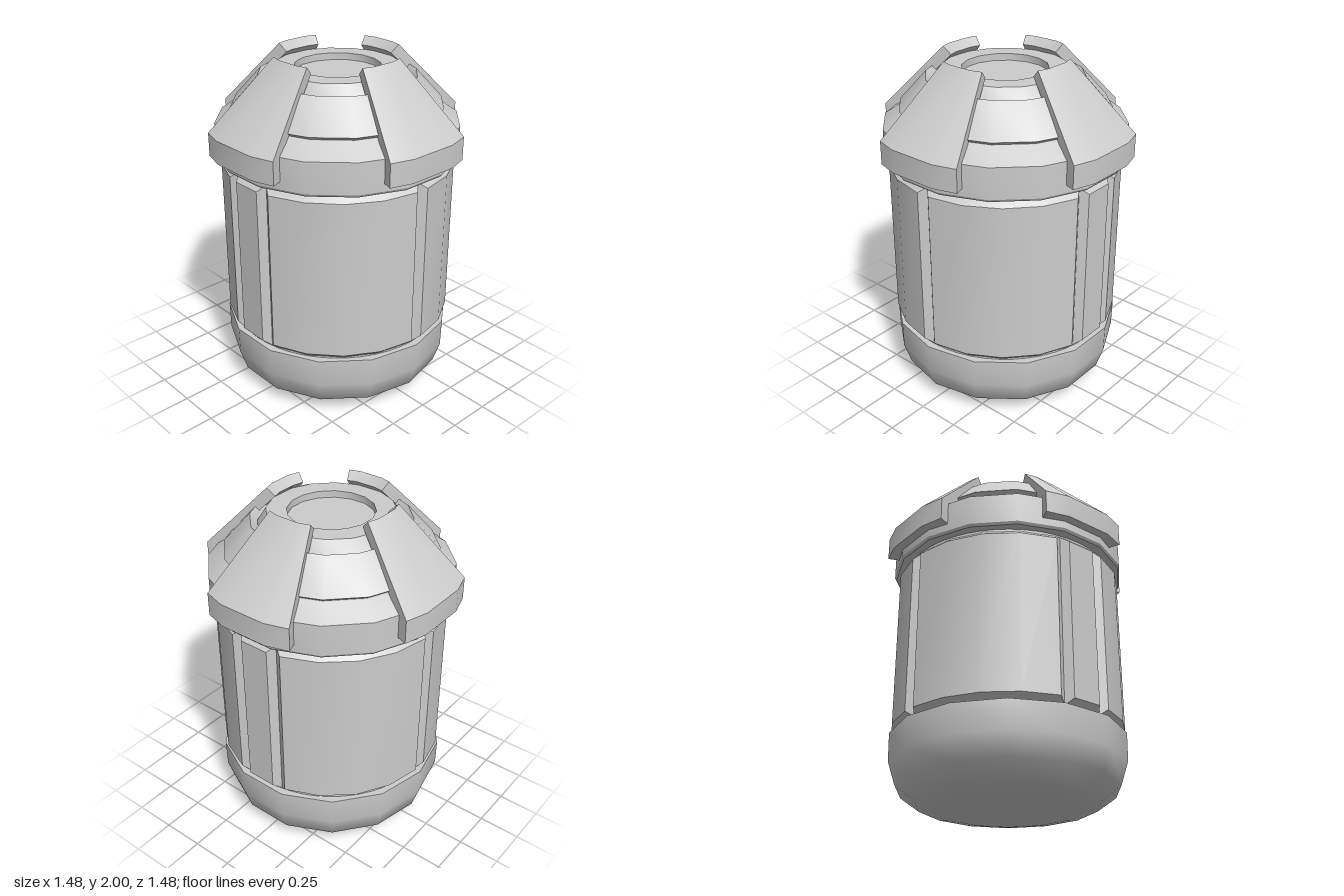
import * as THREE from 'three';
import { toCreasedNormals } from 'three/addons/utils/BufferGeometryUtils.js';

const material = new THREE.MeshStandardMaterial({ color: 0xcccccc });
const rad = THREE.MathUtils.degToRad;

function part(name, geometry, crease) {
  const mesh = new THREE.Mesh(toCreasedNormals(geometry, crease), material);
  mesh.name = name;
  return mesh;
}

// Solid of revolution from [radius, height] points, listed from bottom to top
function turned(name, profile, sides, start, crease) {
  const points = profile.map(([r, y]) => new THREE.Vector2(r, y));
  return part(name, new THREE.LatheGeometry(points, sides, rad(start)), crease);
}

// Surface through sections { angle, profile }; a closed profile also gets end faces.
// Closed profiles run up the outside and down the inside.
function sweep(sections, closed) {
  const n = sections[0].profile.length;
  const positions = [];
  const index = [];
  for (const { angle, profile } of sections) {
    const a = rad(angle);
    for (const [r, y] of profile) positions.push(r * Math.sin(a), y, r * Math.cos(a));
  }
  const quad = (a, b, c, d) => index.push(a, b, c, a, c, d);
  for (let i = 0; i < sections.length - 1; i++) {
    for (let j = 0; j < (closed ? n : n - 1); j++) {
      const k = (j + 1) % n;
      quad(i * n + j, (i + 1) * n + j, (i + 1) * n + k, i * n + k);
    }
  }
  if (closed) {
    const e = (sections.length - 1) * n;
    for (let k = 0; k < n / 2 - 1; k++) {
      quad(k, k + 1, n - 2 - k, n - 1 - k);
      quad(e + n - 1 - k, e + n - 2 - k, e + k + 1, e + k);
    }
  }
  const geometry = new THREE.BufferGeometry();
  geometry.setAttribute('position', new THREE.Float32BufferAttribute(positions, 3));
  geometry.setIndex(index);
  return geometry;
}

// Curved wall panel with bevels on all four edges
function wallPanel(name, from, to, steps) {
  const inner = 0.635, outer = 0.673, bottom = 0.4, top = 1.41, bevel = 0.035, inset = 3.4;
  const edge = [[inner, bottom], [inner, bottom], [inner, top], [inner, top]];
  const full = [[inner, bottom], [outer, bottom + bevel], [outer, top - bevel], [inner, top]];
  const sections = [{ angle: from, profile: edge }];
  for (let i = 0; i <= steps; i++) {
    const angle = THREE.MathUtils.lerp(from + inset, to - inset, i / steps);
    sections.push({ angle, profile: full });
  }
  sections.push({ angle: to, profile: edge });
  return part(name, sweep(sections, false), 0.45);
}

export function createModel() {
  const model = new THREE.Group();

  // Rounded base
  model.add(turned('base', [
    [0, 0], [0.43, 0], [0.52, 0.016], [0.635, 0.1], [0.677, 0.23], [0.68, 0.395], [0, 0.395],
  ], 14, 0, 0.9));

  // Core seen at the bottom of the grooves
  model.add(turned('core', [[0, 0.3], [0.635, 0.3], [0.635, 1.5], [0, 1.5]], 48, 0, 0.5));

  // Four large wall panels and two narrow side strips
  const walls = new THREE.Group();
  walls.name = 'wallPanels';
  for (const [from, to] of [[0, 79], [101, 180], [180, 259], [281, 360]]) {
    walls.add(wallPanel('wallPanel', from, to, 4));
  }
  for (const middle of [90, 270]) walls.add(wallPanel('sideStrip', middle - 11, middle + 11, 1));
  model.add(walls);

  // Stepped lid: collar, lower slope, and an overhanging upper slope with a ring groove
  model.add(turned('lidCollar', [
    [0.6, 1.42], [0.69, 1.42], [0.7, 1.435], [0.7, 1.615], [0.59, 1.69], [0.5, 1.69],
  ], 16, 11.25, 0.5));
  model.add(turned('lidUpper', [
    [0.5, 1.69], [0.58, 1.69], [0.605, 1.71], [0.45, 1.88], [0.41, 1.84], [0.36, 1.92],
    [0.245, 1.92], [0.245, 1.88], [0, 1.88],
  ], 16, 11.25, 0.5));

  // Four bent guard plates around the lid
  const guardProfile = [
    [0.753, 1.48], [0.753, 1.615], [0.37, 2], [0.322, 1.955], [0.687, 1.59], [0.687, 1.48],
  ];
  const guards = new THREE.Group();
  guards.name = 'guardPlates';
  for (let i = 0; i < 4; i++) {
    const sections = [-22, -11.25, 11.25, 22].map((a) => ({ angle: a, profile: guardProfile }));
    const guard = part('guardPlate', sweep(sections, true), 0.5);
    guard.rotation.y = i * Math.PI / 2;
    guards.add(guard);
  }
  model.add(guards);

  return model;
}
